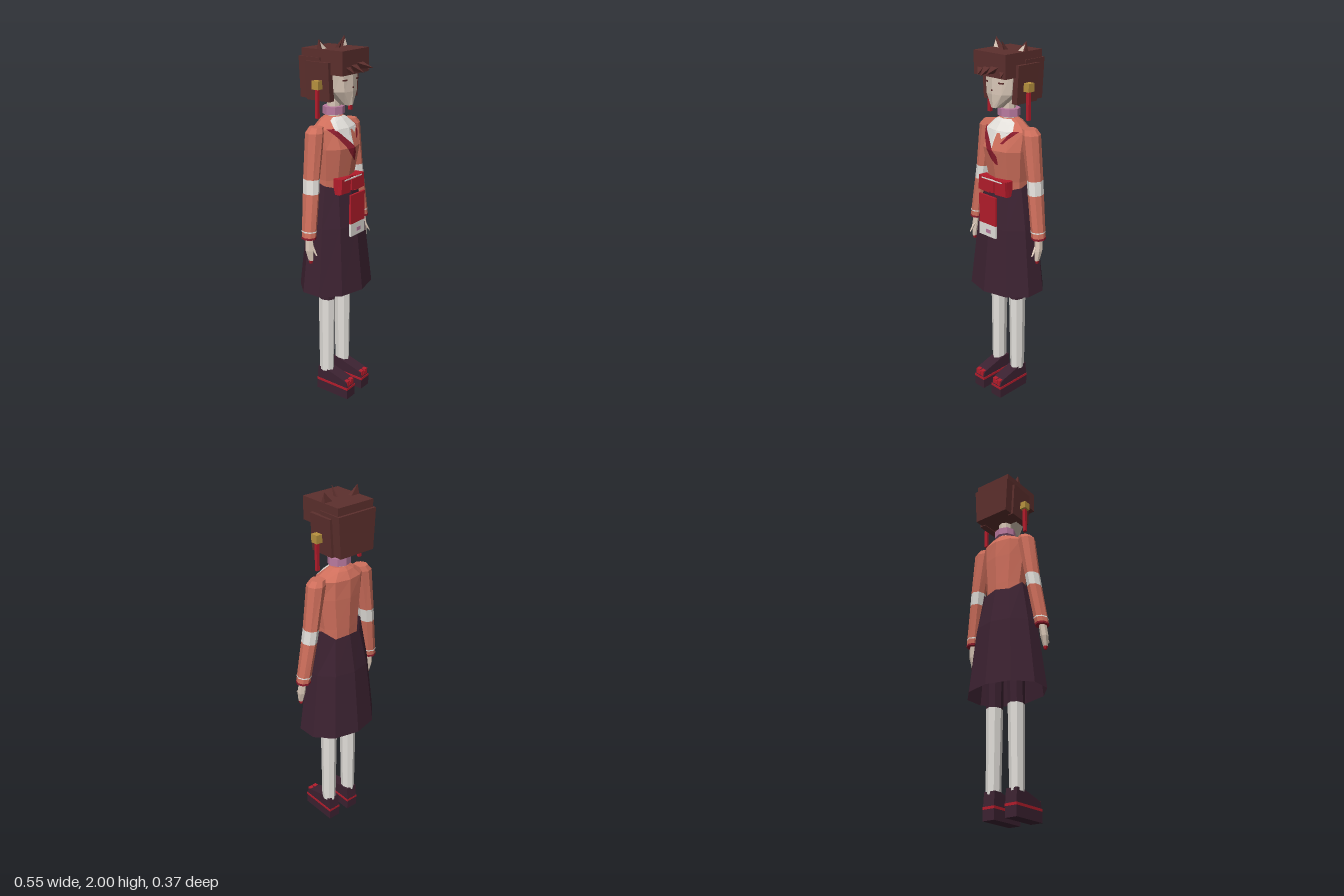
import * as THREE from 'three';
import { ConvexGeometry } from 'three/addons/geometries/ConvexGeometry.js';

const mat = (name, color, side = THREE.FrontSide) => {
  const m = new THREE.MeshStandardMaterial({ color, side, flatShading: true });
  m.name = name;
  return m;
};

// One cross-section: n points from the front round towards +x
const ring = (y, cx, hx, zFront, zBack, n) => Array.from({ length: n }, (_, i) => {
  const a = (i / n) * Math.PI * 2;
  return [cx + hx * Math.sin(a), y, (zFront + zBack) / 2 + (zFront - zBack) / 2 * Math.cos(a)];
});

// Faceted skin over rings listed from bottom to top
function loft(rings, capped = true) {
  const pos = [], n = rings[0].length;
  for (let r = 0; r < rings.length - 1; r++) {
    for (let i = 0; i < n; i++) {
      const j = (i + 1) % n, lo = rings[r], hi = rings[r + 1];
      pos.push(...lo[i], ...lo[j], ...hi[j], ...lo[i], ...hi[j], ...hi[i]);
    }
  }
  if (capped) {
    const b = rings[0], t = rings[rings.length - 1];
    for (let i = 1; i < n - 1; i++) pos.push(...b[0], ...b[i + 1], ...b[i], ...t[0], ...t[i], ...t[i + 1]);
  }
  const g = new THREE.BufferGeometry();
  g.setAttribute('position', new THREE.Float32BufferAttribute(pos, 3));
  g.computeVertexNormals();
  return g;
}

const hull = (pts) => new ConvexGeometry(pts.map((p) => new THREE.Vector3(...p)));

// Torso sections: y, half width, front z, back z
const TORSO = [
  [1.2, 0.118, 0.068, -0.1], [1.28, 0.12, 0.075, -0.104], [1.45, 0.142, 0.105, -0.11],
  [1.55, 0.142, 0.07, -0.108], [1.59, 0.085, 0.035, -0.085], [1.605, 0.05, 0.018, -0.07],
];

// Front surface of the ten-sided torso
function torsoZ(x, y) {
  let k = 0;
  while (k < TORSO.length - 2 && y > TORSO[k + 1][0]) k++;
  const A = TORSO[k], B = TORSO[k + 1];
  const t = Math.min(1, (y - A[0]) / (B[0] - A[0]));
  const [hx, zf, zb] = [1, 2, 3].map((i) => A[i] + (B[i] - A[i]) * t);
  const u = Math.min(Math.abs(x) / hx, 0.95);
  const c = u < 0.588 ? 1 - 0.191 * u / 0.588 : 0.809 - 0.5 * (u - 0.588) / 0.363;
  return (zf + zb) / 2 + (zf - zb) / 2 * c;
}

// Thin cloth layer on the torso; rows are y, left x, right x, from bottom to top
function chestLayer(rows, lift) {
  const rings = [];
  for (let r = 0; r < rows.length - 1; r++) {
    for (let s = r ? 1 : 0; s <= 5; s++) {
      const [y, a, b] = rows[r].map((v, i) => v + (rows[r + 1][i] - v) * s / 5);
      rings.push(Array.from({ length: 9 }, (_, i) => {
        const x = a + (b - a) * i / 8;
        return [x, y, torsoZ(x, y) + lift];
      }));
    }
  }
  const pos = [];
  for (let r = 0; r < rings.length - 1; r++) for (let i = 0; i < 8; i++) {
    const lo = rings[r], hi = rings[r + 1];
    pos.push(...lo[i], ...lo[i + 1], ...hi[i + 1], ...lo[i], ...hi[i + 1], ...hi[i]);
  }
  const g = new THREE.BufferGeometry();
  g.setAttribute('position', new THREE.Float32BufferAttribute(pos, 3));
  g.computeVertexNormals();
  return g;
}

export function createModel() {
  const group = new THREE.Group();
  const hair = mat('brown hair', 0x5c2f2d), skin = mat('skin', 0xd8c6b6);
  const coral = mat('coral cloth', 0xcf6f5c), white = mat('white cloth', 0xe2dfda, THREE.DoubleSide);
  const plum = mat('plum cloth', 0x3c2231, THREE.DoubleSide), red = mat('red', 0xb31c2b);
  const wine = mat('dark red trim', 0x8a1c2c, THREE.DoubleSide), gold = mat('gold', 0xb8923f);
  const pink = mat('pink', 0xb97a9f);

  const add = (name, geo, m) => {
    const mesh = new THREE.Mesh(geo, m);
    mesh.name = name;
    group.add(mesh);
    return mesh;
  };
  const box = (name, m, x0, x1, y0, y1, z0, z1) => {
    const mesh = add(name, new THREE.BoxGeometry(Math.abs(x1 - x0), y1 - y0, z1 - z0), m);
    mesh.position.set((x0 + x1) / 2, (y0 + y1) / 2, (z0 + z1) / 2);
    return mesh;
  };

  // Torso and crossed collar
  add('torso', loft(TORSO.map(([y, ...s]) => ring(y, 0, ...s, 10))), coral);
  add('innerShirt', chestLayer([[1.46, -0.005, 0.01], [1.5, -0.045, 0.025], [1.55, -0.09, 0.095],
    [1.59, -0.07, 0.07], [1.604, -0.04, 0.04]], 0.004), white);
  add('collarRight', chestLayer([[1.375, 0.02, 0.032], [1.42, -0.02, 0.03], [1.47, -0.055, -0.005],
    [1.555, -0.12, -0.09]], 0.007), wine);
  add('collarLeft', chestLayer([[1.49, 0.045, 0.06], [1.555, 0.092, 0.12]], 0.007), wine);
  add('lapel', chestLayer([[1.44, 0, 0.05], [1.5, 0.005, 0.05], [1.54, 0.012, 0.03]], 0.006), coral);

  // Skirt, with an uneven waist edge
  const waist = ring(1.25, 0, 0.14, 0.088, -0.11, 10);
  waist.forEach((p, i) => { p[1] += [-0.01, -0.01, 0.005, 0.025, -0.02][Math.min(i, 10 - i) % 5]; });
  add('skirt', loft([ring(0.66, 0, 0.2335, 0.171, -0.187, 10),
    ring(1.03, 0, 0.187, 0.13, -0.15, 10), waist], false), plum);

  // Sash with bow and hanging panel
  box('sash', red, -0.1, 0.1, 1.21, 1.295, 0.05, 0.092);
  for (const s of [-1, 1]) {
    const wing = box('bowWing', red, s * 0.02, s * 0.1, 1.215, 1.295, 0.08, 0.105);
    wing.rotation.z = s * 0.06;
  }
  box('bowKnot', red, -0.022, 0.022, 1.225, 1.285, 0.08, 0.113);
  box('sashCord', white, -0.075, 0.075, 1.285, 1.291, 0.102, 0.108);
  box('panel', red, -0.063, 0.06, 1.05, 1.21, 0.126, 0.138);
  box('panelHem', white, -0.063, 0.06, 0.98, 1.05, 0.126, 0.138);
  box('panelFlower', pink, -0.012, 0.022, 1.0, 1.02, 0.137, 0.14);

  // Neck and choker
  add('neck', loft([ring(1.58, 0, 0.037, 0.015, -0.058, 8), ring(1.72, 0, 0.037, 0.015, -0.058, 8)]), skin);
  add('choker', loft([ring(1.615, 0, 0.062, 0.034, -0.078, 8), ring(1.655, 0, 0.062, 0.034, -0.078, 8)]), pink);

  // Face
  add('face', loft([ring(1.67, 0, 0.028, 0.095, 0.02, 10), ring(1.74, 0, 0.092, 0.1, -0.05, 10),
    ring(1.87, 0, 0.104, 0.096, -0.05, 10)]), skin);
  for (const s of [-1, 1]) {
    const eye = box('eye', hair, s * 0.038, s * 0.066, 1.796, 1.803, 0.083, 0.09);
    eye.rotation.y = s * 0.24;
  }
  box('mouth', hair, -0.005, 0.005, 1.757, 1.765, 0.096, 0.102);

  // Hair: crown, tapered back, fringe spikes
  box('hairCrown', hair, -0.112, 0.112, 1.83, 1.95, -0.142, 0.116);
  const slab = (x0, x1, inset, y0, y1, z0, z1) => hull([x0, x1].flatMap((x) => [z0, z1].flatMap((z) =>
    [[x - Math.sign(x) * inset, y0, z], [x, y1, z]])));
  add('hairBack', slab(-0.118, 0.118, 0.012, 1.7, 1.91, -0.156, -0.02), hair);
  const spikes = [[-0.068, 1.875, 0.022, -0.052, 1.838, 0.146], [-0.02, 1.88, 0.025, -0.005, 1.84, 0.172],
    [0.035, 1.885, 0.027, 0.054, 1.858, 0.185], [0.085, 1.872, 0.02, 0.095, 1.84, 0.134]];
  for (const [x, y, w, tx, ty, tz] of spikes) {
    add('fringeSpike', hull([[x - w, y, 0.11], [x + w, y, 0.11], [x, y - 0.035, 0.11], [tx, ty, tz]]), hair);
  }
  add('hairTuft', hull([[-0.006, 1.945, -0.015], [0.006, 1.945, -0.015], [-0.006, 1.945, 0.012],
    [0.006, 1.945, 0.012], [0, 2, 0.034]]), hair);

  for (const s of [-1, 1]) {
    // Side locks, pointed ears and earrings
    add('sideLock', slab(s * 0.095, s * 0.131, 0.012, 1.695, 1.89, -0.105, 0.042), hair);
    add('ear', hull([[s * 0.052, 1.94, -0.045], [s * 0.112, 1.94, -0.045], [s * 0.052, 1.94, -0.017],
      [s * 0.112, 1.94, -0.017], [s * 0.106, 2, -0.036]]), hair);
    add('innerEar', hull([[s * 0.064, 1.945, -0.013], [s * 0.104, 1.945, -0.013], [s * 0.08, 1.945, -0.022],
      [s * 0.104, 1.985, -0.029]]), skin);
    box('earringBead', gold, s * 0.121, s * 0.159, 1.757, 1.8, -0.041, 0);
    box('earringTassel', red, s * 0.131, s * 0.149, 1.61, 1.757, -0.028, -0.012);

    // Sleeve in two parts with a white band at the elbow
    const wrist = ring(1.0, s * 0.235, 0.037, 0.033, -0.047, 8);
    const low = ring(1.23, s * 0.2, 0.038, 0.028, -0.066, 8);
    const high = ring(1.305, s * 0.19, 0.039, 0.024, -0.07, 8);
    add('lowerSleeve', loft([wrist, low]), coral);
    add('sleeveBand', loft([low, high], false), white);
    add('upperSleeve', loft([high, ring(1.54, s * 0.155, 0.05, 0.024, -0.076, 8),
      ring(1.567, s * 0.143, 0.038, 0.012, -0.064, 8)]), coral);
    add('cuffTrim', loft([ring(0.992, s * 0.236, 0.038, 0.034, -0.048, 8),
      ring(1.003, s * 0.235, 0.038, 0.034, -0.048, 8)]), wine);
    add('cuffLine', loft([ring(1.03, s * 0.2305, 0.0385, 0.034, -0.051, 8),
      ring(1.037, s * 0.2295, 0.0385, 0.034, -0.051, 8)], false), white);

    // Hand with thumb and painted fingertips
    add('hand', loft([ring(0.875, s * 0.243, 0.012, 0.025, -0.005, 6),
      ring(0.93, s * 0.243, 0.021, 0.025, -0.022, 6), ring(1.0, s * 0.237, 0.02, 0.018, -0.028, 6)]), skin);
    add('fingertips', loft([ring(0.858, s * 0.243, 0.007, 0.018, -0.001, 6),
      ring(0.875, s * 0.243, 0.012, 0.025, -0.005, 6)]), red);
    add('thumb', hull([[s * 0.228, 0.965, 0.01], [s * 0.245, 0.965, 0.01], [s * 0.237, 0.95, -0.005],
      [s * 0.237, 0.905, 0.05], [s * 0.245, 0.91, 0.045]]), skin);

    // Leg: stocking and dark upper part
    const knee = ring(0.585, s * 0.071, 0.042, 0.031, -0.068, 8);
    add('stocking', loft([ring(0.13, s * 0.074, 0.036, 0.025, -0.063, 8), knee]), white);
    add('thigh', loft([knee, ring(0.95, s * 0.068, 0.046, 0.035, -0.074, 8)]), plum);

    // Platform shoe
    box('shoeSole', plum, s * 0.033, s * 0.105, 0, 0.056, -0.065, 0.15);
    box('shoeStripe', red, s * 0.032, s * 0.106, 0.056, 0.07, -0.066, 0.151);
    add('shoeUpper', hull([0.035, 0.103].flatMap((x) => [[0.07, 0.148], [0.1, 0.14], [0.112, 0.115],
      [0.145, -0.01], [0.145, -0.058], [0.07, -0.065]].map(([y, z]) => [s * x, y, z]))), plum);
    for (const k of [-1, 1]) {
      box('shoeBow', red, s * 0.069 + k * 0.004, s * 0.069 + k * 0.028, 0.074, 0.108, 0.118, 0.147);
    }
    box('shoeBowKnot', red, s * 0.069 - 0.008, s * 0.069 + 0.008, 0.08, 0.1, 0.13, 0.15);
  }
  return group;
}
